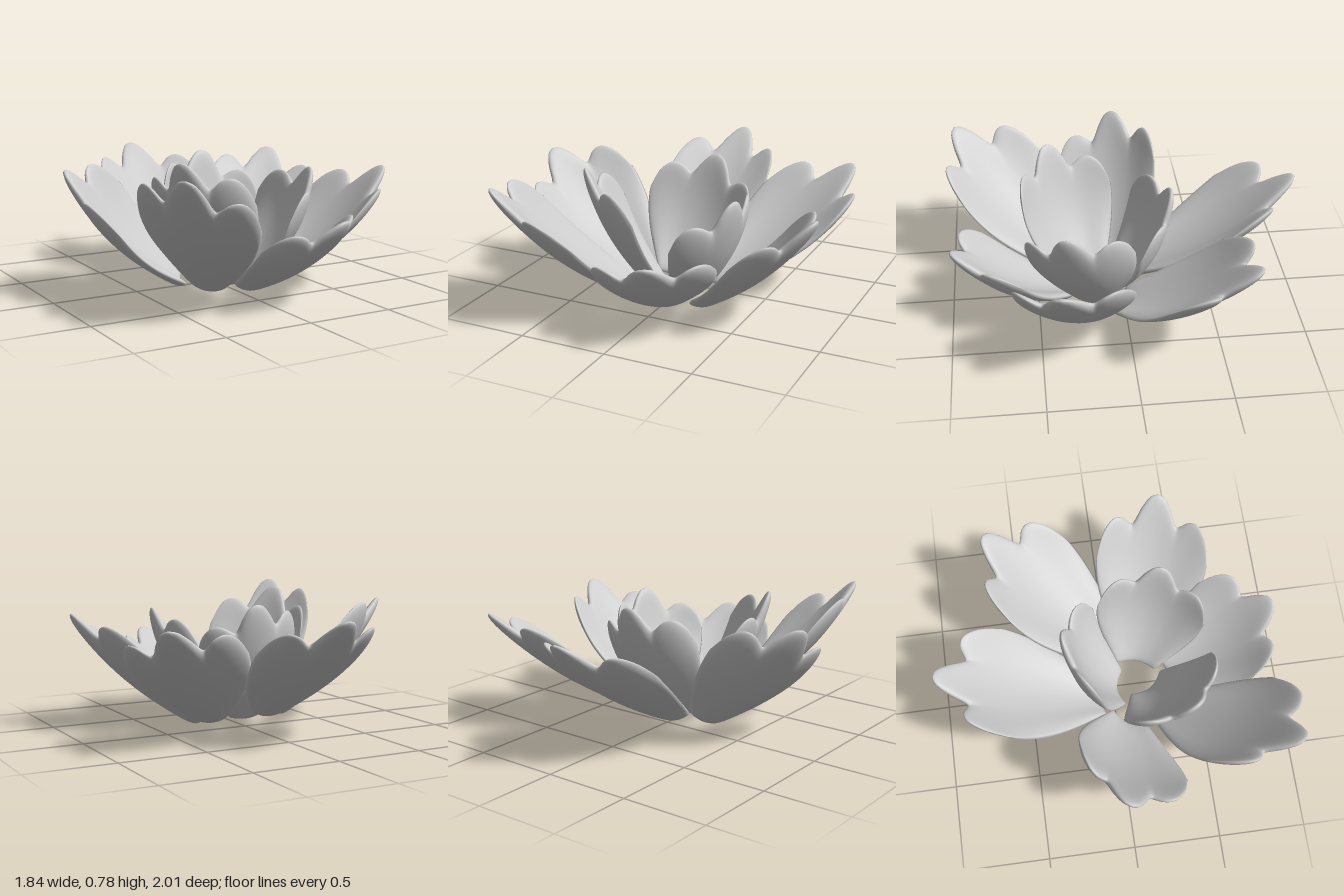
import * as THREE from 'three';
import { mergeVertices } from 'three/addons/utils/BufferGeometryUtils.js';

const V = (a) => new THREE.Vector3(...a);

// Three-lobed end of a petal: x = share of the half width, y = share of the length
const rim = new THREE.SplineCurve([
  [0, 1], [0.13, 0.98], [0.26, 0.91], [0.35, 0.835], [0.41, 0.805], [0.49, 0.82],
  [0.6, 0.845], [0.73, 0.845], [0.84, 0.81], [0.94, 0.73], [1, 0.6],
].map(([x, y]) => new THREE.Vector2(x, y))).getPoints(28);
const outline = [...rim.slice(1).reverse().map((p) => new THREE.Vector2(-p.x, p.y)), ...rim];

// A cupped, padded petal running from base to tip; across points along its width
function petalGeometry({ base, tip, across, width, baseWidth, cup, belly, thick }) {
  const origin = V(base);
  const along = V(tip).sub(origin);
  const length = along.length();
  along.normalize();
  const side = V(across);
  side.addScaledVector(along, -side.dot(along)).normalize();
  const normal = side.clone().cross(along);

  const rows = 30, cols = outline.length;
  const pos = [], index = [];
  for (const face of [1, -1]) {
    const start = pos.length / 3;
    for (let j = 0; j <= rows; j++) {
      const v = (1 - Math.cos((Math.PI * j) / rows)) / 2;
      for (const { x: s, y: end } of outline) {
        // full in the middle, rounded off to nothing at every edge
        const pad = Math.sqrt(Math.max(0, (1 - Math.abs(s) ** 9) * (1 - v ** 14) * (1 - (1 - v) ** 30)));
        const w = width * s * (baseWidth + (1 - baseWidth) * Math.sin((v * Math.PI) / 2));
        const n = cup * s * s * (0.35 + 0.65 * v) - belly * Math.sin(Math.PI * v * end) + face * thick * pad;
        const p = origin.clone().addScaledVector(along, v * end * length)
          .addScaledVector(side, w).addScaledVector(normal, n);
        pos.push(p.x, p.y, p.z);
      }
    }
    for (let j = 0; j < rows; j++) for (let i = 0; i < cols - 1; i++) {
      const a = start + j * cols + i, b = a + 1, c = b + cols, d = a + cols;
      if (face > 0) index.push(a, b, c, a, c, d);
      else index.push(a, c, b, a, d, c);
    }
  }
  let g = new THREE.BufferGeometry();
  g.setAttribute('position', new THREE.Float32BufferAttribute(pos, 3));
  g.setIndex(index);
  g = mergeVertices(g, 1e-5);
  g.computeVertexNormals();
  return g;
}

const outer = { width: 0.33, baseWidth: 0.31, cup: 0.12, belly: 0.055, thick: 0.03 };
const inner = { width: 0.315, baseWidth: 0.36, cup: 0.14, belly: 0.055, thick: 0.028 };

const petals = [
  // outer ring
  { ...outer, name: 'outerPetalBack', base: [-0.11, 0.1, -0.08], tip: [-0.06, 0.73, -1], across: [1, 0, 0] },
  { ...outer, name: 'outerPetalBackLeft', base: [0.19, 0.07, 0.03], tip: [0.78, 0.69, -0.65], across: [0.41, -0.08, 0.32] },
  { ...outer, name: 'outerPetalLeft', base: [0.2, 0.03, 0.21], tip: [0.91, 0.69, 0.4], across: [-0.1, -0.05, 0.56] },
  { ...outer, name: 'outerPetalFront', base: [0.03, 0.06, 0.35], tip: [0.22, 0.52, 0.98], across: [-0.53, -0.03, 0.2] },
  { ...outer, name: 'outerPetalFrontRight', base: [-0.22, 0.07, 0.3], tip: [-0.7, 0.8, 0.95], across: [-0.36, 0.07, -0.38] },
  { ...outer, name: 'outerPetalRight', base: [-0.26, 0.07, 0.05], tip: [-0.92, 0.74, -0.02], across: [0.27, 0.17, -0.55] },
  // inner ring
  { ...inner, name: 'innerPetalBack', base: [-0.05, 0.07, 0.02], tip: [0.07, 0.76, -0.27], across: [0.52, 0.02, -0.03] },
  { ...inner, name: 'innerPetalLeft', base: [0.13, 0.06, 0.17], tip: [0.43, 0.71, 0.35], across: [-0.18, -0.13, 0.53] },
  { ...inner, name: 'innerPetalRight', base: [-0.07, 0.06, 0.23], tip: [-0.44, 0.8, 0.41], across: [-0.32, 0.01, -0.47] },
];

export function createModel() {
  const flower = new THREE.Group();
  flower.name = 'flower';
  const material = new THREE.MeshStandardMaterial({ color: 0xcccccc, side: THREE.DoubleSide });
  for (const p of petals) {
    const mesh = new THREE.Mesh(petalGeometry(p), material);
    mesh.name = p.name;
    flower.add(mesh);
  }
  // centre the flower and stand it on the ground
  const box = new THREE.Box3().setFromObject(flower);
  const c = box.getCenter(new THREE.Vector3());
  flower.children.forEach((m) => m.geometry.translate(-c.x, -box.min.y, -c.z));
  return flower;
}
